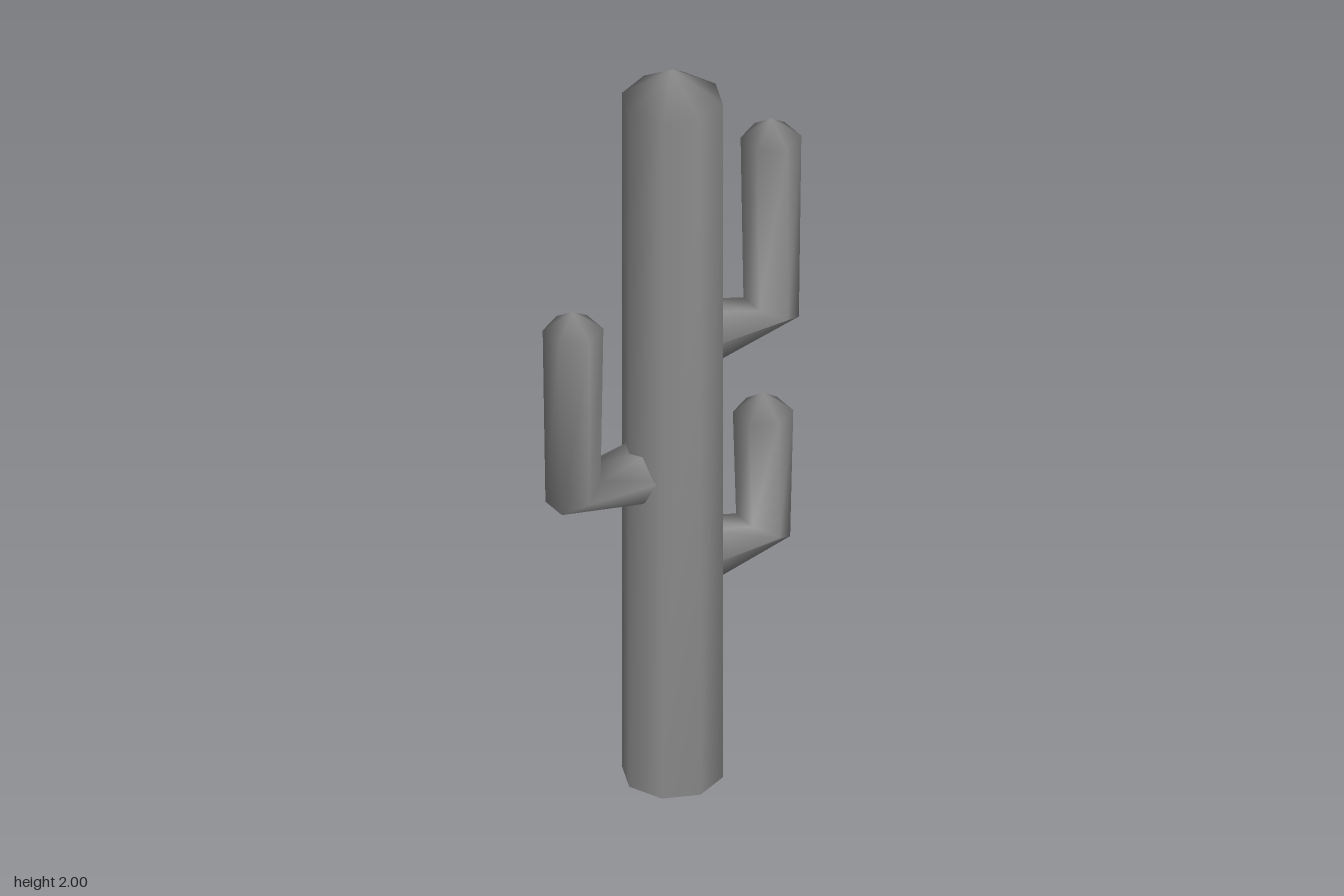
import * as THREE from 'three';

// Smooth loft through rings. A ring spans from point a to point b (x, y) and
// reaches +-depth in z; optional tips close the ends.
function loft({ rings, sides, turn, depth, side = 1, bottomTip, topTip }) {
  const pos = [], index = [];
  const reach = Math.cos(turn);
  for (const [ax, ay, bx, by] of rings) {
    for (let i = 0; i < sides; i++) {
      const t = turn + (i / sides) * Math.PI * 2;
      const c = Math.cos(t) / reach / 2;
      pos.push(
        side * ((ax + bx) / 2 + (bx - ax) * c),
        (ay + by) / 2 + (by - ay) * c,
        side * depth * Math.sin(t)
      );
    }
  }
  for (let r = 0; r < rings.length - 1; r++) {
    for (let i = 0; i < sides; i++) {
      const a = r * sides + i, b = r * sides + (i + 1) % sides;
      index.push(a, a + sides, b, b, a + sides, b + sides);
    }
  }
  const addTip = (tip, start, up) => {
    const n = pos.length / 3;
    pos.push(side * tip[0], tip[1], 0);
    for (let i = 0; i < sides; i++) {
      const a = start + i, b = start + (i + 1) % sides;
      index.push(...(up ? [a, n, b] : [b, n, a]));
    }
  };
  if (bottomTip) addTip(bottomTip, 0, false);
  if (topTip) addTip(topTip, (rings.length - 1) * sides, true);
  const geo = new THREE.BufferGeometry();
  geo.setAttribute('position', new THREE.Float32BufferAttribute(pos, 3));
  geo.setIndex(index);
  geo.computeVertexNormals();
  return geo;
}

export function createModel() {
  const group = new THREE.Group();
  const material = new THREE.MeshStandardMaterial({ color: 0x8c8c8c });
  material.name = 'cactus grey';

  const add = (name, options) => {
    const mesh = new THREE.Mesh(loft(options), material);
    mesh.name = name;
    group.add(mesh);
  };

  // Octagonal trunk with a pointed top and a shallow pointed base
  const r = 0.123;
  add('trunk', {
    rings: [[-r, 0.022, r, 0.022], [-r, 1.918, r, 1.918]],
    sides: 8, turn: 0, depth: r, bottomTip: [0, 0], topTip: [0, 2],
  });

  // Hexagonal arms: root inside the trunk, mitred elbow, shoulder, tip
  const arms = [
    ['upperLeftArm', 1, [[0.06, 1.314, 0.06, 1.152], [0.226, 1.261, 0.337, 1.207], [0.218, 1.714, 0.344, 1.714]], [0.281, 1.766]],
    ['lowerLeftArm', 1, [[0.06, 0.7, 0.06, 0.54], [0.205, 0.66, 0.312, 0.597], [0.196, 0.949, 0.321, 0.949]], [0.259, 1.0]],
    ['rightArm', -1, [[0.06, 0.974, 0.06, 0.822], [0.228, 0.937, 0.338, 0.88], [0.22, 1.365, 0.346, 1.365]], [0.284, 1.415]],
  ];
  for (const [name, side, rings, topTip] of arms) {
    add(name, { rings, sides: 6, turn: Math.PI / 6, depth: 0.072, side, topTip });
  }
  return group;
}
